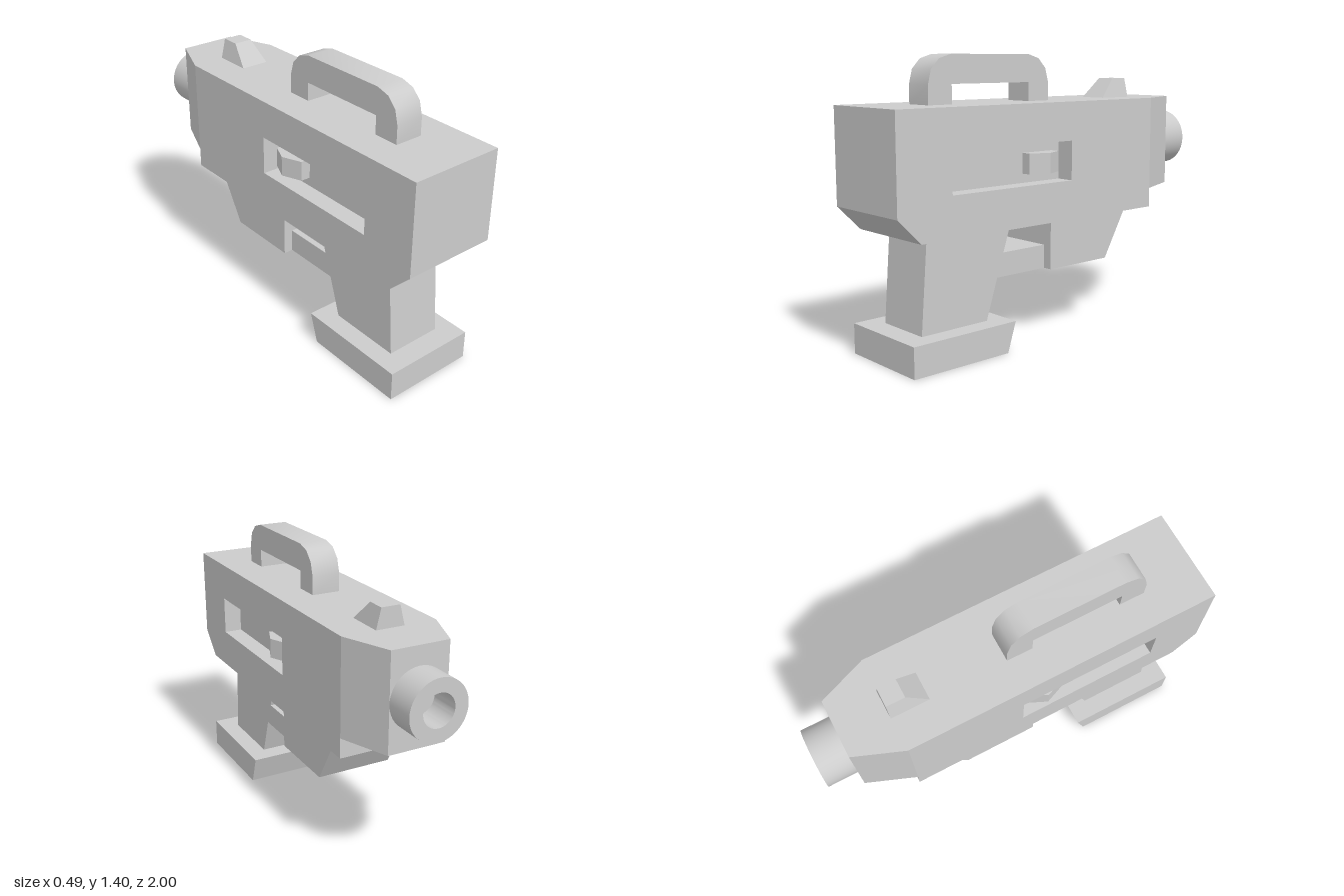
import * as THREE from 'three';
import { toCreasedNormals } from 'three/addons/utils/BufferGeometryUtils.js';

const material = new THREE.MeshStandardMaterial({ color: 0xcccccc });
const toShape = (pts) => new THREE.Shape(pts.map(([a, b]) => new THREE.Vector2(a, b)));

// Side profile of [z, y] points, extruded across x from x0 to x1
function sideExtrude(shape, x0, x1) {
  const g = new THREE.ExtrudeGeometry(shape, { depth: x1 - x0, bevelEnabled: false });
  g.rotateY(-Math.PI / 2);
  g.translate(x1, 0, 0);
  return g;
}

export function createModel() {
  const model = new THREE.Group();
  const add = (name, geometry, parent = model) => {
    const mesh = new THREE.Mesh(geometry, material);
    mesh.name = name;
    parent.add(mesh);
    return mesh;
  };

  const HALF = 0.243;  // half width of the body
  const CORE = 0.15;   // x of the recess floor

  // Body: a core with a slotted plate on each side
  const body = new THREE.Group();
  body.name = 'body';
  model.add(body);
  const bodyPts = [[1, 1.17], [1, 0.71], [0.88, 0.59], [-0.605, 0.59], [-0.605, 1.17]];
  add('bodyCore', sideExtrude(toShape(bodyPts), -CORE, CORE), body);
  const plate = toShape(bodyPts);
  plate.holes.push(toShape([[0.71, 0.785], [0.71, 0.98], [-0.02, 0.98], [-0.02, 0.785]]));
  add('leftSidePlate', sideExtrude(plate, CORE, HALF), body);
  add('rightSidePlate', sideExtrude(plate, -HALF, -CORE), body);

  // Ridged slide catches in the side slots, drawn in plan as [x, -z]
  for (const side of [1, -1]) {
    const catchShape = toShape([[CORE, -0.22], [0.2, -0.22], [0.24, -0.12], [0.2, -0.03], [CORE, -0.03]]
      .map(([x, y]) => [side * x, y]));
    const g = new THREE.ExtrudeGeometry(catchShape, { depth: 0.1, bevelEnabled: false });
    g.rotateX(-Math.PI / 2);
    g.translate(0, 0.83, 0);
    add(side > 0 ? 'leftSlideCatch' : 'rightSlideCatch', g);
  }

  // Nose tapering towards the muzzle
  const nose = new THREE.ExtrudeGeometry(
    toShape([[-HALF, 0.605], [HALF, 0.605], [0.147, 0.85], [-0.147, 0.85]]),
    { depth: 0.48, bevelEnabled: false });
  nose.rotateX(-Math.PI / 2);
  nose.translate(0, 0.69, 0);
  add('nose', nose);

  // Hollow muzzle
  const ring = new THREE.Shape().absarc(0, 0, 0.147, 0, Math.PI * 2);
  ring.holes.push(new THREE.Path().absarc(0, 0, 0.08, 0, Math.PI * 2));
  const muzzle = toCreasedNormals(
    new THREE.ExtrudeGeometry(ring, { depth: 0.15, bevelEnabled: false, curveSegments: 32 }), 0.6);
  muzzle.translate(0, 0.93, -1);
  add('muzzle', muzzle);

  // Carry handle with rounded shoulders
  const handle = toShape([
    [0.71, 1.17], [0.71, 1.26], [0.692, 1.33], [0.647, 1.377], [0.58, 1.397],
    [0.112, 1.397], [0.045, 1.377], [0, 1.33], [-0.02, 1.26], [-0.02, 1.17],
    [0.112, 1.17], [0.112, 1.262], [0.578, 1.262], [0.578, 1.17],
  ]);
  add('carryHandle', toCreasedNormals(sideExtrude(handle, -0.073, 0.073), 0.6));

  // Sight: a block narrowed at the top and sloped on one end
  const sight = new THREE.BoxGeometry(0.146, 0.1, 0.195);
  sight.translate(0, 1.22, -0.5125);
  const p = sight.attributes.position;
  for (let i = 0; i < p.count; i++) {
    if (p.getY(i) < 1.22) continue;
    p.setX(i, p.getX(i) * 0.66);
    if (p.getZ(i) > -0.5) p.setZ(i, -0.515);
  }
  sight.computeVertexNormals();
  add('sight', sight);

  // Grip with the trigger guard bar
  add('grip', sideExtrude(toShape([
    [0.785, 0.59], [0.82, 0.147], [0.445, 0.147], [0.38, 0.345], [0.075, 0.345],
    [0.075, 0.462], [0.34, 0.462], [0.297, 0.59],
  ]), -0.147, 0.147));

  // Wide foot under the grip
  add('gripBase', sideExtrude(toShape([[0.93, 0.147], [0.93, 0], [0.395, 0], [0.347, 0.147]]), -HALF, HALF));

  // Block ahead of the trigger guard
  add('foreGrip', sideExtrude(toShape([[0.075, 0.59], [0.075, 0.345], [-0.315, 0.345], [-0.46, 0.59]]), -0.195, 0.195));

  return model;
}
